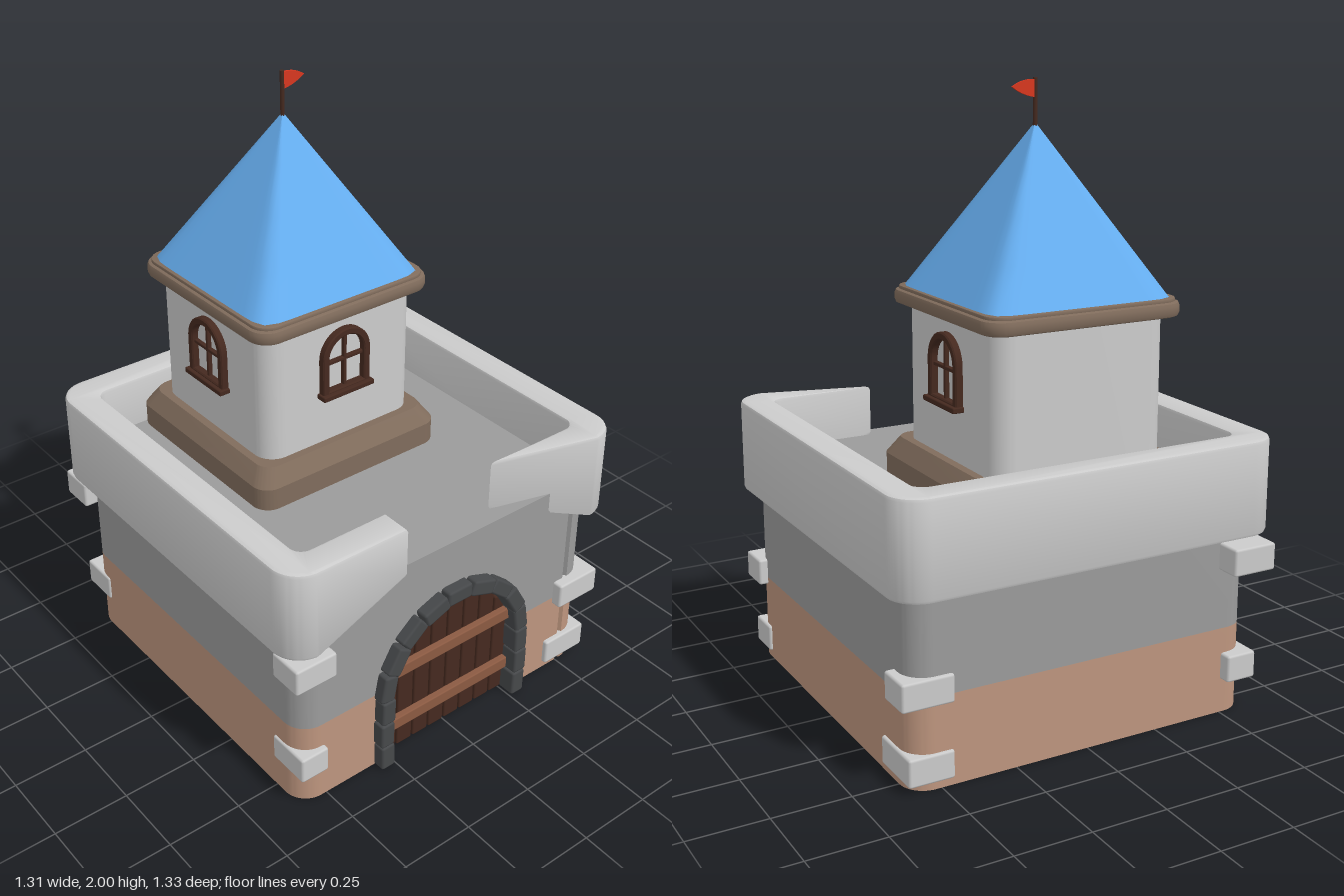
import * as THREE from 'three';
import { toCreasedNormals } from 'three/addons/utils/BufferGeometryUtils.js';
import { RoundedBoxGeometry } from 'three/addons/geometries/RoundedBoxGeometry.js';

const mat = (color) => new THREE.MeshStandardMaterial({ color });
const stone = mat(0xcccccc), wallGrey = mat(0x9b9b9b), clay = mat(0xbd957e), trim = mat(0x806c5c);
const darkWood = mat(0x45291f), lightWood = mat(0x8b5a42), darkStone = mat(0x46484a);
const blue = mat(0x66aef0), red = mat(0xd8371f);

function add(parent, name, geo, material, x = 0, y = 0, z = 0) {
  const m = new THREE.Mesh(geo, material);
  m.name = name;
  m.position.set(x, y, z);
  parent.add(m);
  return m;
}

// Box given by its extents, with slightly softened edges
function block(parent, name, material, [x0, x1], [y0, y1], [z0, z1], r = 0.008) {
  const geo = new RoundedBoxGeometry(x1 - x0, y1 - y0, z1 - z0, 1, r);
  return add(parent, name, geo, material, (x0 + x1) / 2, (y0 + y1) / 2, (z0 + z1) / 2);
}

// Rounded square plan
function roundedSquare(h, r) {
  const s = new THREE.Shape();
  [0, 1, 2, 3].forEach((i) => {
    const a = i * Math.PI / 2, c = (h - r) * Math.SQRT2, m = a + Math.PI / 4;
    s.absarc(c * Math.cos(m), c * Math.sin(m), r, a, a + Math.PI / 2);
  });
  s.closePath();
  return s;
}

// Rounded square ring plan, open on its front between x = g0 and x = g1
function openRing(h, t, r, g0, g1) {
  const s = new THREE.Shape(), i = h - t, q = Math.max(r - t, 0.04), P = Math.PI;
  s.moveTo(g1, -h);
  s.absarc(h - r, r - h, r, -P / 2, 0);
  s.absarc(h - r, h - r, r, 0, P / 2);
  s.absarc(r - h, h - r, r, P / 2, P);
  s.absarc(r - h, r - h, r, P, P * 1.5);
  s.lineTo(g0, -h);
  s.lineTo(g0, -i);
  s.absarc(q - i, q - i, q, P * 1.5, P, true);
  s.absarc(q - i, i - q, q, P, P / 2, true);
  s.absarc(i - q, i - q, q, P / 2, 0, true);
  s.absarc(i - q, q - i, q, 0, -P / 2, true);
  s.lineTo(g1, -i);
  s.closePath();
  return s;
}

// Extrude a plan upwards from y0 to y1
function rise(shape, y0, y1, bevel = 0) {
  const geo = new THREE.ExtrudeGeometry(shape, {
    depth: y1 - y0 - 2 * bevel, curveSegments: 8, bevelEnabled: bevel > 0,
    bevelThickness: bevel, bevelSize: bevel, bevelOffset: -bevel, bevelSegments: 2,
  });
  return geo.rotateX(-Math.PI / 2).translate(0, y0 + bevel, 0);
}
const crease = (geo) => toCreasedNormals(geo, 0.6);

function walls(parent) {
  const g = new THREE.Group(), H = 0.6, T = 0.03, E = 0.5, R = 0.28, S = 0.265, band = 0.29;
  g.name = 'walls';
  g.position.z = 0.02;
  const ring = openRing(H, T, 0.08, -E, E);
  add(g, 'lowerWall', crease(rise(ring, 0, band)), clay);
  add(g, 'upperWall', crease(rise(ring, band, 0.735)), wallGrey);
  for (const s of [-1, 1]) {
    add(g, 'lowerFrontWall', new THREE.BoxGeometry(E - R, band, T), clay, s * (E + R) / 2, band / 2, H - T / 2);
  }
  // Front wall with the arched doorway cut out
  const f = new THREE.Shape(), a = Math.asin((band - S) / R);
  f.moveTo(E, band);
  f.lineTo(E, 0.735);
  f.lineTo(-E, 0.735);
  f.lineTo(-E, band);
  f.absarc(0, S, R, Math.PI - a, a, true);
  f.closePath();
  const geo = new THREE.ExtrudeGeometry(f, { depth: T, bevelEnabled: false, curveSegments: 24 });
  add(g, 'upperFrontWall', crease(geo), wallGrey, 0, 0, H - T);
  add(g, 'terrace', crease(rise(roundedSquare(H, 0.08), 0.71, 0.74)), wallGrey);
  parent.add(g);
}

function parapet(parent) {
  const lo = 0.605, g0 = -0.233, g1 = 0.19;
  const geo = rise(openRing(0.655, 0.103, 0.1, g0, g1), lo, 0.915, 0.012);
  // The underside of the front slopes up towards the opening
  const p = geo.attributes.position;
  for (let i = 0; i < p.count; i++) {
    const x = p.getX(i), y = p.getY(i);
    if (p.getZ(i) < 0.5 || y > 0.7) continue;
    const edge = x < 0 ? -g0 : g1;
    const k = THREE.MathUtils.clamp((0.56 - Math.abs(x)) / (0.56 - edge), 0, 1);
    p.setY(i, y + k * 0.135);
  }
  add(parent, 'parapet', crease(geo), stone, 0, 0, 0.008);
}

function door(parent) {
  const g = new THREE.Group(), S = 0.265, R = 0.282;
  g.name = 'gate';
  // Stone surround: three blocks per side, nine around the arch
  for (const s of [-1, 1]) {
    for (let i = 0; i < 3; i++) {
      const m = add(g, 'archStone', new RoundedBoxGeometry(0.052, 0.09, 0.1, 1, 0.008), darkStone,
        s * (R + 0.003 * (i % 2)), 0.046 + i * 0.092, 0.612);
      m.rotation.z = s * 0.02 * (i - 1);
    }
  }
  for (let i = 0; i < 9; i++) {
    const a = (i + 0.5) * Math.PI / 9;
    const m = add(g, 'archStone', new RoundedBoxGeometry(0.054, 0.098, 0.1, 1, 0.009), darkStone,
      R * Math.cos(a), S + 0.005 + R * Math.sin(a), 0.608 + 0.004 * (i % 2));
    m.rotation.z = a;
  }
  // Planks follow the arch
  const n = 8, w = 0.54 / n;
  for (let i = 0; i < n; i++) {
    const x = (i - (n - 1) / 2) * w, top = S + Math.sqrt(0.275 ** 2 - x * x);
    block(g, 'plank', darkWood, [x - w / 2 + 0.003, x + w / 2 - 0.003], [0.005, top], [0.575, 0.603], 0.005);
  }
  for (const y of [0.122, 0.333]) {
    block(g, 'crossbar', lightWood, [-0.258, 0.258], [y - 0.022, y + 0.022], [0.6, 0.625], 0.005);
  }
  parent.add(g);
}

function cornerStones(parent) {
  const list = [
    [[0.46, 0.63], [0.265, 0.355], [0.535, 0.655]], [[0.435, 0.61], [0.025, 0.115], [0.515, 0.637]],
    [[0.46, 0.63], [0.265, 0.355], [-0.592, -0.47]], [[0.46, 0.61], [0.025, 0.115], [-0.59, -0.4]],
    [[-0.635, -0.485], [0.49, 0.58], [0.535, 0.655]], [[-0.607, -0.505], [0.115, 0.205], [0.49, 0.64]],
    [[-0.635, -0.48], [0.49, 0.58], [-0.662, -0.54]], [[-0.607, -0.5], [0.115, 0.205], [-0.62, -0.48]],
  ];
  for (const [x, y, z] of list) block(parent, 'cornerStone', stone, x, y, z);
}

// Arched window frame facing +z, sill at y = 0
function archWindow() {
  const g = new THREE.Group(), R = 0.093, t = 0.024, spring = 0.13;
  g.name = 'window';
  const outline = (s, r, y) => {
    s.moveTo(-r, y);
    s.lineTo(r, y);
    s.absarc(0, spring, r, 0, Math.PI);
    s.closePath();
    return s;
  };
  const frame = outline(new THREE.Shape(), R, 0);
  frame.holes.push(outline(new THREE.Path(), R - t, 0.02));
  const geo = new THREE.ExtrudeGeometry(frame, {
    depth: 0.03, curveSegments: 16, bevelThickness: 0.004, bevelSize: 0.004, bevelOffset: -0.004, bevelSegments: 1,
  });
  add(g, 'frame', crease(geo), darkWood, 0, 0, -0.01);
  block(g, 'mullion', darkWood, [-0.006, 0.006], [0.01, 0.21], [-0.01, 0.014], 0.003);
  block(g, 'glazingBar', darkWood, [-0.08, 0.08], [0.108, 0.12], [-0.01, 0.014], 0.003);
  block(g, 'sill', darkWood, [-0.1, 0.1], [-0.005, 0.013], [-0.01, 0.037], 0.004);
  return g;
}

function tower(parent) {
  const g = new THREE.Group(), H = 0.297;
  g.name = 'tower';
  g.position.set(-0.02, 0, -0.207);
  add(g, 'towerFoot', crease(rise(roundedSquare(0.36, 0.06), 0.735, 0.815)), trim);
  // Sloping upper half of the foot
  const slope = rise(roundedSquare(0.36, 0.06), 0.815, 0.87), p = slope.attributes.position;
  for (let i = 0; i < p.count; i++) {
    if (p.getY(i) > 0.84) p.setXYZ(i, p.getX(i) * 0.9, p.getY(i), p.getZ(i) * 0.9);
  }
  add(g, 'towerFootSlope', crease(slope), trim);
  add(g, 'towerWall', crease(rise(roundedSquare(H, 0.07), 0.74, 1.32)), stone);
  add(g, 'eaves', crease(rise(roundedSquare(0.337, 0.07), 1.305, 1.352, 0.014)), trim);
  add(g, 'eavesRim', crease(rise(roundedSquare(0.324, 0.06), 1.345, 1.362, 0.004)), trim);

  for (const a of [-Math.PI / 2, 0, Math.PI / 2]) {
    const w = archWindow();
    w.position.set(Math.sin(a) * H, 1.04, Math.cos(a) * H);
    w.rotation.y = a;
    g.add(w);
  }

  // Roof: a cone whose base is pushed out to a rounded square
  const roof = new THREE.ConeGeometry(0.316, 0.515, 64, 4), q = roof.attributes.position;
  for (let i = 0; i < q.count; i++) {
    const x = q.getX(i), z = q.getZ(i), r = Math.hypot(x, z);
    if (r < 1e-6) continue;
    const k = (Math.abs(x / r) ** 12 + Math.abs(z / r) ** 12) ** (-1 / 12);
    q.setXYZ(i, x * k, q.getY(i), z * k);
  }
  roof.computeVertexNormals();
  add(g, 'roof', roof, blue, 0, 1.355 + 0.2575, 0);

  // Flag
  add(g, 'flagpole', new THREE.CylinderGeometry(0.007, 0.007, 0.16, 10), darkWood, 0, 1.92, 0);
  const f = new THREE.Shape();
  f.moveTo(0, 1.942);
  f.quadraticCurveTo(0.045, 1.948, 0.08, 1.974);
  f.quadraticCurveTo(0.045, 1.998, 0, 1.995);
  f.closePath();
  add(g, 'flag', new THREE.ExtrudeGeometry(f, { depth: 0.008, bevelEnabled: false }), red, 0, 0, -0.004);
  parent.add(g);
}

export function createModel() {
  const castle = new THREE.Group();
  castle.name = 'castle';
  walls(castle);
  parapet(castle);
  door(castle);
  cornerStones(castle);
  tower(castle);
  return castle;
}
